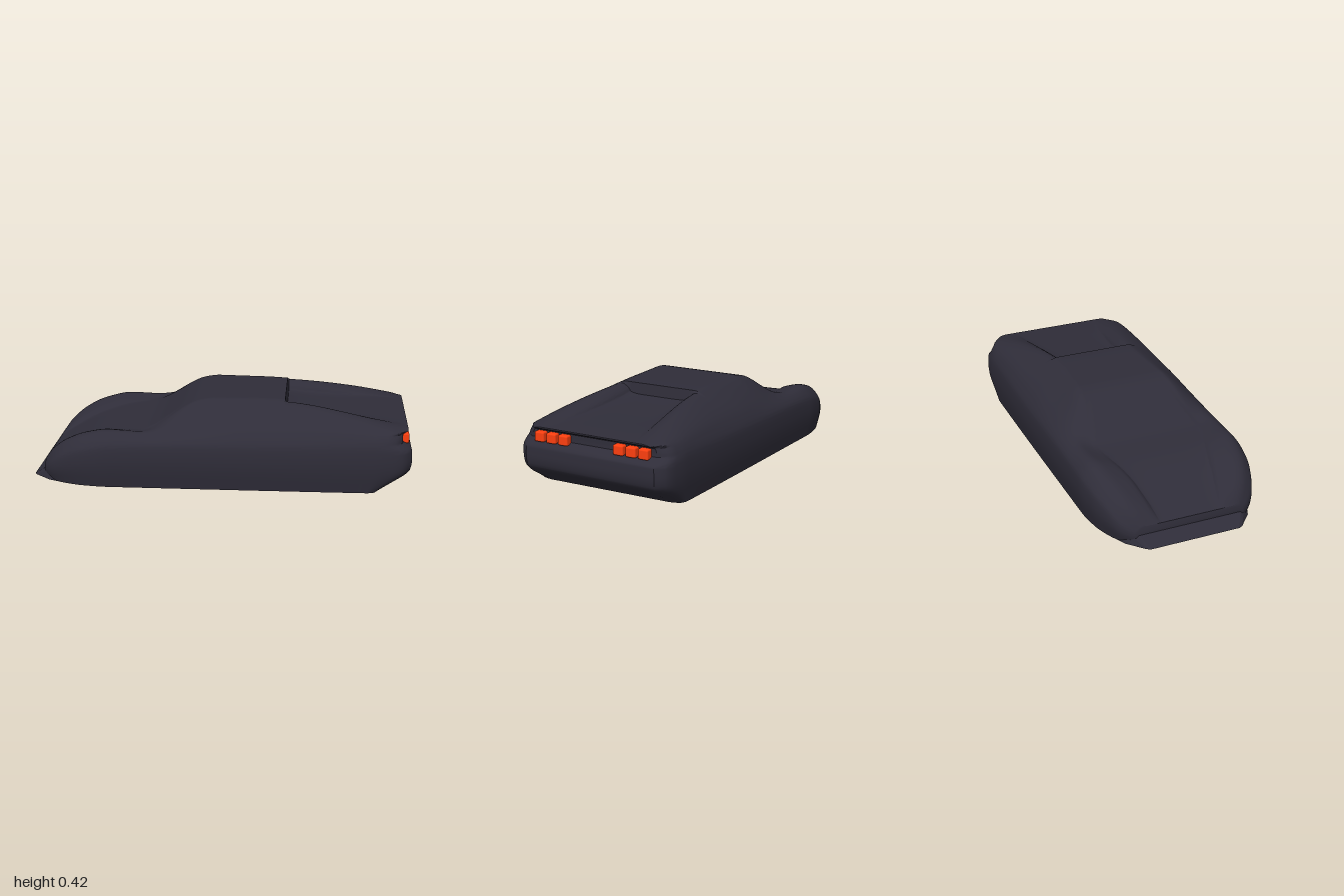
import * as THREE from 'three';
import { toCreasedNormals } from 'three/addons/utils/BufferGeometryUtils.js';
import { RoundedBoxGeometry } from 'three/addons/geometries/RoundedBoxGeometry.js';
import { ConvexGeometry } from 'three/addons/geometries/ConvexGeometry.js';

// Smooth curve through [position, value] pairs that never overshoots
function track(...p) {
  const d = p.slice(1).map((q, i) => (q[1] - p[i][1]) / (q[0] - p[i][0]));
  const m = p.map((_, i) => {
    if (i === 0) return d[0];
    if (i === d.length) return d[i - 1];
    return d[i - 1] * d[i] <= 0 ? 0 : (2 * d[i - 1] * d[i]) / (d[i - 1] + d[i]);
  });
  return (x) => {
    let i = 0;
    while (i < d.length - 1 && x > p[i + 1][0]) i++;
    const h = p[i + 1][0] - p[i][0];
    const t = THREE.MathUtils.clamp((x - p[i][0]) / h, 0, 1);
    const t2 = t * t, t3 = t2 * t;
    return (2 * t3 - 3 * t2 + 1) * p[i][1] + (t3 - 2 * t2 + t) * h * m[i]
      + (3 * t2 - 2 * t3) * p[i + 1][1] + (t3 - t2) * h * m[i + 1];
  };
}

// Corner-cutting that keeps both ends
function soften(pts, rounds) {
  for (let r = 0; r < rounds; r++) {
    const out = [pts[0]];
    for (let i = 0; i < pts.length - 1; i++) {
      const [a, b] = [pts[i], pts[i + 1]];
      for (const t of [0.25, 0.75]) out.push([a[0] + (b[0] - a[0]) * t, a[1] + (b[1] - a[1]) * t]);
    }
    out.push(pts[pts.length - 1]);
    pts = out;
  }
  return pts;
}

const NOSE = -0.92, TAIL = 0.94, STEP = 0.305;
// Half widths along the car: side, shoulder, roof or fender inner edge, hood or deck panel
const side = track([NOSE, 0.28], [-0.9, 0.315], [-0.86, 0.355], [-0.8, 0.387], [-0.7, 0.418], [-0.57, 0.432],
  [0, 0.432], [0.75, 0.428], [0.85, 0.42], [0.9, 0.405], [TAIL, 0.36]);
const shoulder = track([NOSE, 0.25], [-0.85, 0.3], [-0.7, 0.35], [-0.5, 0.37], [-0.1, 0.37], [0.3, 0.365],
  [0.85, 0.385], [TAIL, 0.335]);
const inner = track([NOSE, 0.19], [-0.7, 0.235], [-0.42, 0.3], [-0.11, 0.25], [0.3, 0.23], [0.85, 0.31], [TAIL, 0.3]);
const panel = track([NOSE, 0.15], [-0.7, 0.2], [-0.42, 0.265], [-0.11, 0.19], [0.3, 0.165], [0.8, 0.22], [TAIL, 0.24]);
// Heights along the car
const beltY = track([NOSE, 0.07], [-0.88, 0.105], [-0.8, 0.165], [-0.7, 0.205], [-0.57, 0.23], [-0.3, 0.24],
  [0.3, 0.25], [0.7, 0.26], [TAIL, 0.265]);
const shoulderY = track([NOSE, 0.09], [-0.88, 0.15], [-0.8, 0.218], [-0.7, 0.263], [-0.57, 0.288], [-0.42, 0.28],
  [-0.11, 0.305], [0.15, 0.33], [0.4, 0.335], [TAIL, 0.298]);
const innerY = track([NOSE, 0.09], [-0.88, 0.135], [-0.8, 0.19], [-0.7, 0.235], [-0.57, 0.262], [-0.42, 0.265],
  [-0.13, 0.412], [-0.06, 0.422], [0.15, 0.422], [0.33, 0.415], [TAIL, 0.308]);
const panelY = track([NOSE, 0.085], [-0.88, 0.108], [-0.8, 0.155], [-0.7, 0.205], [-0.57, 0.243], [-0.42, 0.264],
  [-0.13, 0.412], [-0.06, 0.422], [0.15, 0.422], [STEP - 0.004, 0.417], [STEP + 0.004, 0.36], [TAIL, 0.308]);
// Lengthwise profile of the tail face by height: undercut, bumper, light recess, lip
const tailX = track([0, 0.77], [0.115, 0.925], [0.16, 0.932], [0.21, 0.93], [0.235, 0.905], [0.25, 0.885],
  [0.288, 0.885], [0.302, 0.912], [0.4, 0.912]);

function halfSection(x) {
  const w = side(x), b = beltY(x);
  return [[0, 0], ...soften([
    [w - 0.02, 0], [w, b * 0.45], [w, b * 0.8], [w - 0.01, b],
    [shoulder(x), shoulderY(x)], [inner(x), innerY(x)],
    [panel(x) + 0.012, (innerY(x) + panelY(x)) / 2], [panel(x), panelY(x)], [0, panelY(x)],
  ], 3)];
}

function bodyGeometry() {
  const stations = [];
  for (let i = 0; i <= 110; i++) stations.push(NOSE + ((TAIL - NOSE) * i) / 110);
  stations.push(STEP - 0.004, STEP + 0.004, NOSE + 0.005, NOSE + 0.01);
  stations.sort((a, b) => a - b);

  const pos = [], idx = [];
  let ring = 0;
  for (const s of stations) {
    const half = halfSection(s);
    const full = [...half, ...half.slice(0, -1).reverse().map(([z, y]) => [-z, y])];
    ring = full.length;
    for (const [z, y] of full) {
      const x = s > 0.7 ? 0.7 + ((s - 0.7) * (tailX(y) - 0.7)) / (TAIL - 0.7) : s;
      pos.push(x, y, z);
    }
  }
  const last = (stations.length - 1) * ring;
  for (let i = 0; i < stations.length - 1; i++) {
    for (let j = 0; j < ring - 1; j++) {
      const a = i * ring + j, b = a + 1, c = b + ring, d = a + ring;
      idx.push(a, d, c, a, c, b);
    }
  }
  // Nose and tail faces, in strips from side to side
  for (let j = 0; j < (ring - 1) / 2; j++) {
    const r = j, r2 = j + 1, l = ring - 1 - j, l2 = l - 1;
    idx.push(l, r, r2, l, r2, l2);
    idx.push(last + l, last + r2, last + r, last + l, last + l2, last + r2);
  }
  const geo = new THREE.BufferGeometry();
  geo.setAttribute('position', new THREE.Float32BufferAttribute(pos, 3));
  geo.setIndex(idx);
  return toCreasedNormals(geo, 0.6);
}

export function createModel() {
  const model = new THREE.Group();
  model.name = 'sportsCar';
  const car = new THREE.Group();
  car.name = 'car';
  // The car stands turned a little from the axes
  car.rotation.y = THREE.MathUtils.degToRad(15);
  car.position.set(0.007, 0, 0.026);
  model.add(car);

  const paint = new THREE.MeshStandardMaterial({ color: 0x2f2d39 });
  const red = new THREE.MeshStandardMaterial({ color: 0xff4010 });
  const add = (name, geo, mat, parent = car) => {
    const mesh = new THREE.Mesh(geo, mat);
    mesh.name = name;
    parent.add(mesh);
    return mesh;
  };

  add('body', bodyGeometry(), paint);

  // Wedge-shaped lip under the nose
  const lip = [];
  for (const s of [1, -1]) {
    for (const [x, y, z] of [[-0.982, 0, 0.23], [-0.972, 0, 0.25], [-0.89, 0, 0.325], [-0.8, 0, 0.365],
      [-0.91, 0.055, 0.27], [-0.88, 0.055, 0.31], [-0.8, 0.055, 0.34]]) lip.push(new THREE.Vector3(x, y, z * s));
  }
  add('frontLip', ConvexGeometry ? new ConvexGeometry(lip) : null, paint);

  // Three square lamps on each side of the tail recess
  const lights = new THREE.Group();
  lights.name = 'tailLights';
  car.add(lights);
  for (const s of [1, -1]) {
    for (const z of [0.156, 0.224, 0.292]) {
      const lamp = add('tailLight', new RoundedBoxGeometry(0.05, 0.05, 0.055, 2, 0.008), red, lights);
      lamp.position.set(0.893, 0.26, z * s);
    }
  }
  return model;
}
